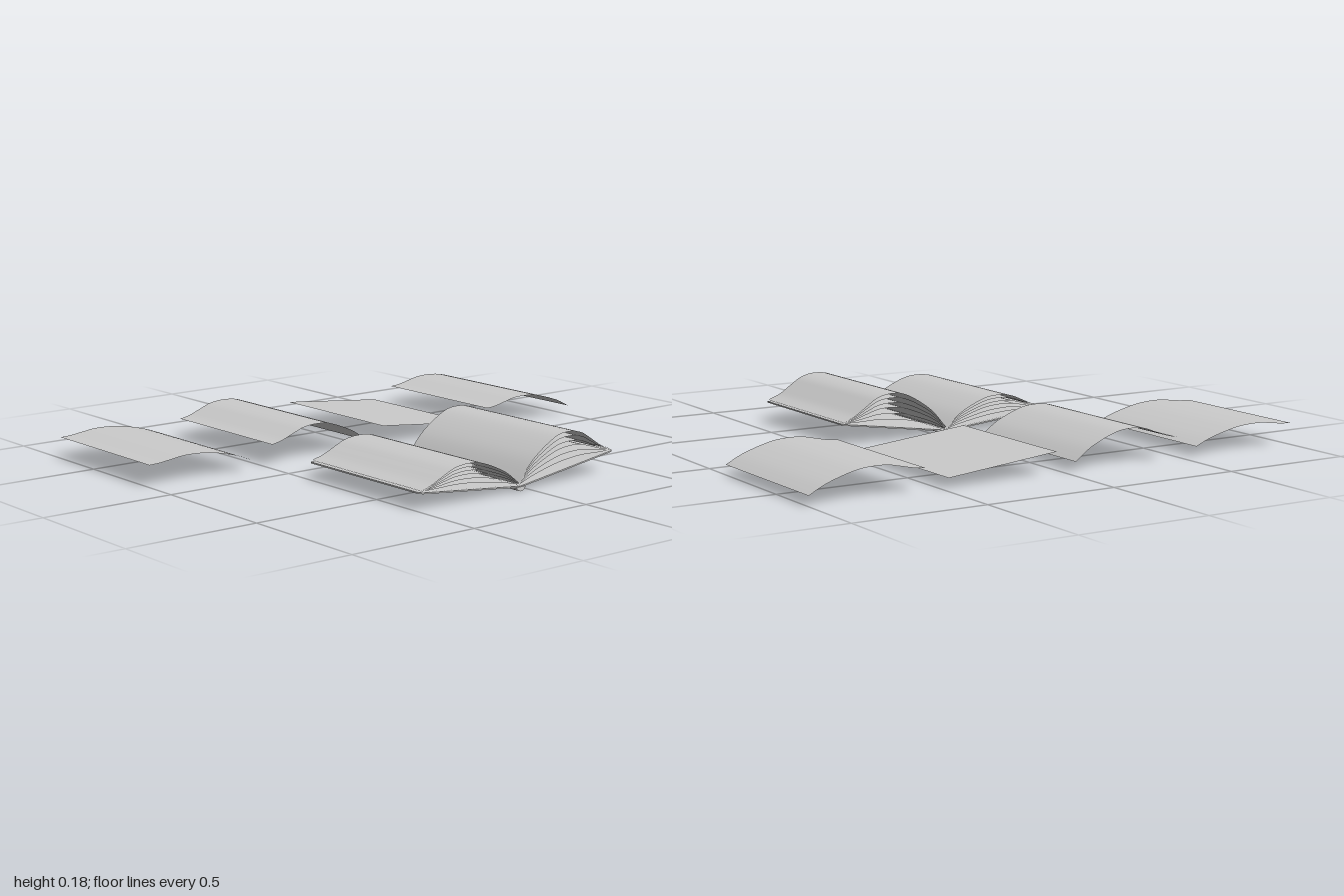
import * as THREE from 'three';

const paper = new THREE.MeshStandardMaterial({ color: 0xcccccc, side: THREE.DoubleSide });
const board = new THREE.MeshStandardMaterial({ color: 0xcccccc });

// Shape of a curling page: distance from the spine edge, height of the curl
const curl = new THREE.SplineCurve([
  [0, 0], [0.15, 0.55], [0.375, 0.97], [0.53, 1], [0.67, 0.84], [0.78, 0.54], [0.9, 0.19], [1, 0],
].map(([u, h]) => new THREE.Vector2(u, h)));

// Sheet from its spine edge (z0, y0) to its free edge (z1, y1), arched by rise
function makeSheet(name, x0, x1, [z0, y0], [z1, y1], rise) {
  const rows = 28;
  const geo = new THREE.PlaneGeometry(1, 1, 1, rows);
  const pos = geo.attributes.position;
  for (let i = 0; i < pos.count; i++) {
    const p = curl.getPoint(Math.floor(i / 2) / rows);
    // the order of the sides keeps the front of the sheet facing up
    const side = (i % 2 === 0) === (z1 > z0) ? x0 : x1;
    pos.setXYZ(i, side, y0 + (y1 - y0) * p.x + rise * p.y, z0 + (z1 - z0) * p.x);
  }
  geo.computeVertexNormals();
  const mesh = new THREE.Mesh(geo, paper);
  mesh.name = name;
  return mesh;
}

// Cover board: thin panel with two rounded outer corners, hinged at the spine
function makeCover(name, length, angle, back) {
  const w = 0.305, r = 0.022;
  const s = new THREE.Shape();
  s.moveTo(-w, 0);
  s.lineTo(w, 0);
  s.lineTo(w, length - r);
  s.quadraticCurveTo(w, length, w - r, length);
  s.lineTo(-w + r, length);
  s.quadraticCurveTo(-w, length, -w, length - r);
  s.closePath();
  const geo = new THREE.ExtrudeGeometry(s, { depth: 0.005, bevelEnabled: false, curveSegments: 6 });
  geo.rotateX(Math.PI / 2);
  geo.rotateX(-angle);
  const mesh = new THREE.Mesh(geo, board);
  mesh.name = name;
  if (back) mesh.rotation.y = Math.PI;
  mesh.position.set(0.412, 0.017, 0.04);
  return mesh;
}

export function createModel() {
  const model = new THREE.Group();

  // Open book
  const book = new THREE.Group();
  book.name = 'openBook';
  book.add(makeCover('frontCover', 0.451, Math.atan2(0.045, 0.45), false));
  book.add(makeCover('backCover', 0.455, Math.atan2(0.065, 0.45), true));

  // Spine: shallow rounded bar under the hinge
  const spineShape = new THREE.Shape();
  spineShape.absellipse(0, 0, 0.02, 0.016, Math.PI, Math.PI * 2, false);
  spineShape.closePath();
  const spineGeo = new THREE.ExtrudeGeometry(spineShape, { depth: 0.62, bevelEnabled: false, curveSegments: 8 });
  spineGeo.rotateY(Math.PI / 2);
  const spine = new THREE.Mesh(spineGeo, board);
  spine.name = 'spine';
  spine.position.set(0.102, 0.016, 0.04);
  book.add(spine);

  // Two page stacks, fanned from flat on the cover to the full curl
  const fan = [0, 0.22, 0.4, 0.58, 0.72, 0.87, 1];
  fan.forEach((f, i) => {
    book.add(makeSheet('frontPage' + i, 0.115, 0.71,
      [0.04, 0.019 + 0.008 * f], [0.476, 0.063 + 0.006 * f], 0.08 * f));
    book.add(makeSheet('backPage' + i, 0.115, 0.71,
      [0.036, 0.019 + 0.011 * f], [-0.398, 0.081 + 0.008 * f], 0.115 * f));
  });
  model.add(book);

  // Row of loose pages, each with its own curl
  const loose = new THREE.Group();
  loose.name = 'loosePages';
  [[-0.565, 0.047], [-0.04, 0], [0.475, 0.071], [1, 0.034]].forEach(([z, rise], i) => {
    loose.add(makeSheet('loosePage' + i, -0.725, -0.13, [z - 0.435, 0.036], [z, 0.08], rise));
  });
  model.add(loose);
  return model;
}
